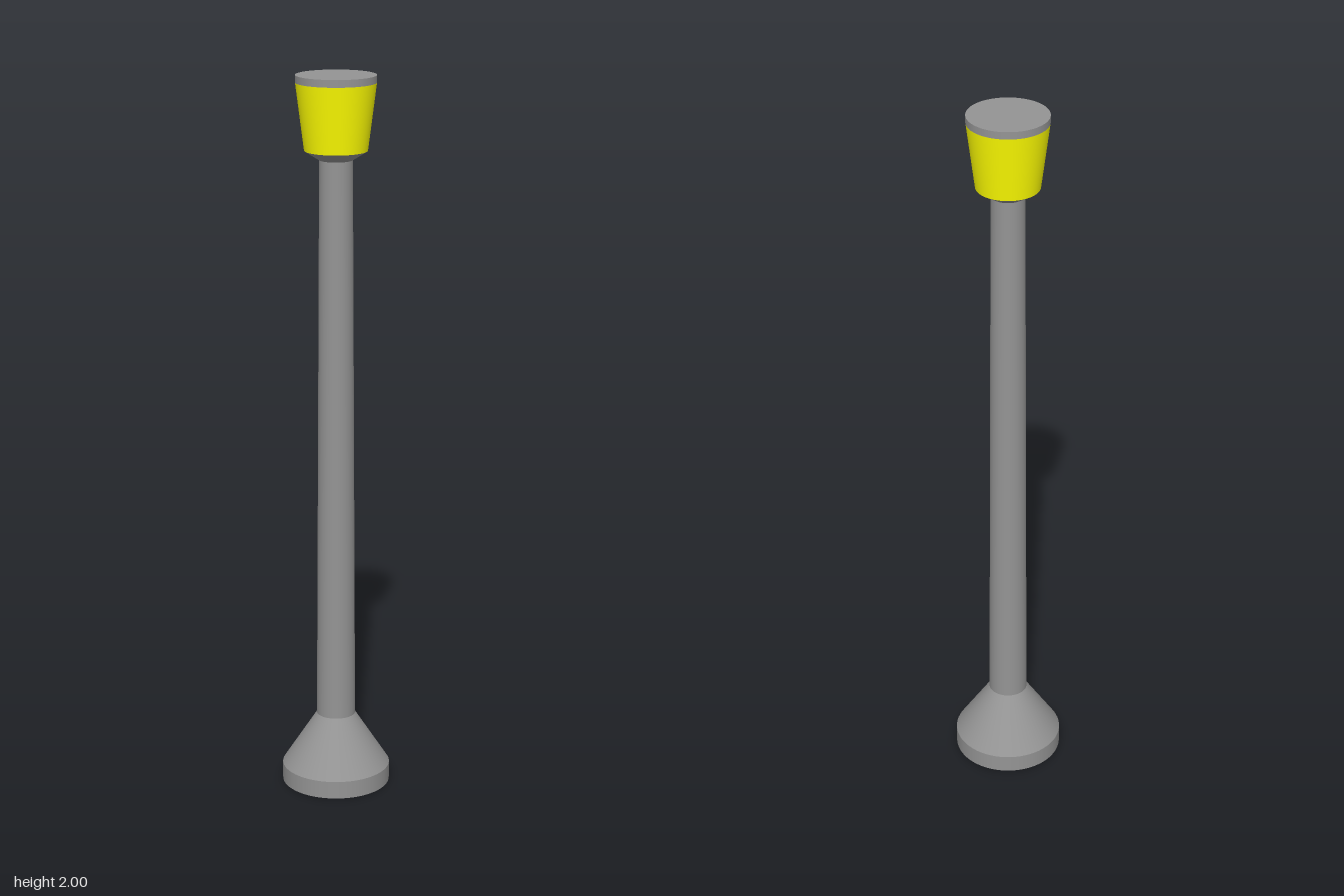
import * as THREE from 'three';

const SEGMENTS = 64;

export function createModel() {
  const model = new THREE.Group();
  model.name = 'bollardLight';

  const grey = new THREE.MeshStandardMaterial({ color: 0x949494 });
  const yellow = new THREE.MeshStandardMaterial({ color: 0xffff00 });

  // Round section tapering from radius r0 at height y0 to r1 at y1
  function section(name, y0, r0, y1, r1, material = grey, open = true) {
    const geometry = new THREE.CylinderGeometry(r1, r0, y1 - y0, SEGMENTS, 1, open);
    const mesh = new THREE.Mesh(geometry, material);
    mesh.name = name;
    mesh.position.y = (y0 + y1) / 2;
    model.add(mesh);
  }

  // Foot: a short disc and the cone rising to the post
  section('baseDisc', 0, 0.151, 0.05, 0.151, grey, false);
  section('baseCone', 0.05, 0.151, 0.2, 0.054);

  // Slightly tapered post
  section('post', 0.2, 0.054, 1.775, 0.045);

  // Head: flared collar, yellow lamp and flat cap
  section('collar', 1.775, 0.045, 1.8, 0.085);
  section('lamp', 1.8, 0.085, 1.98, 0.108, yellow);
  section('cap', 1.98, 0.108, 2, 0.108, grey, false);

  return model;
}
